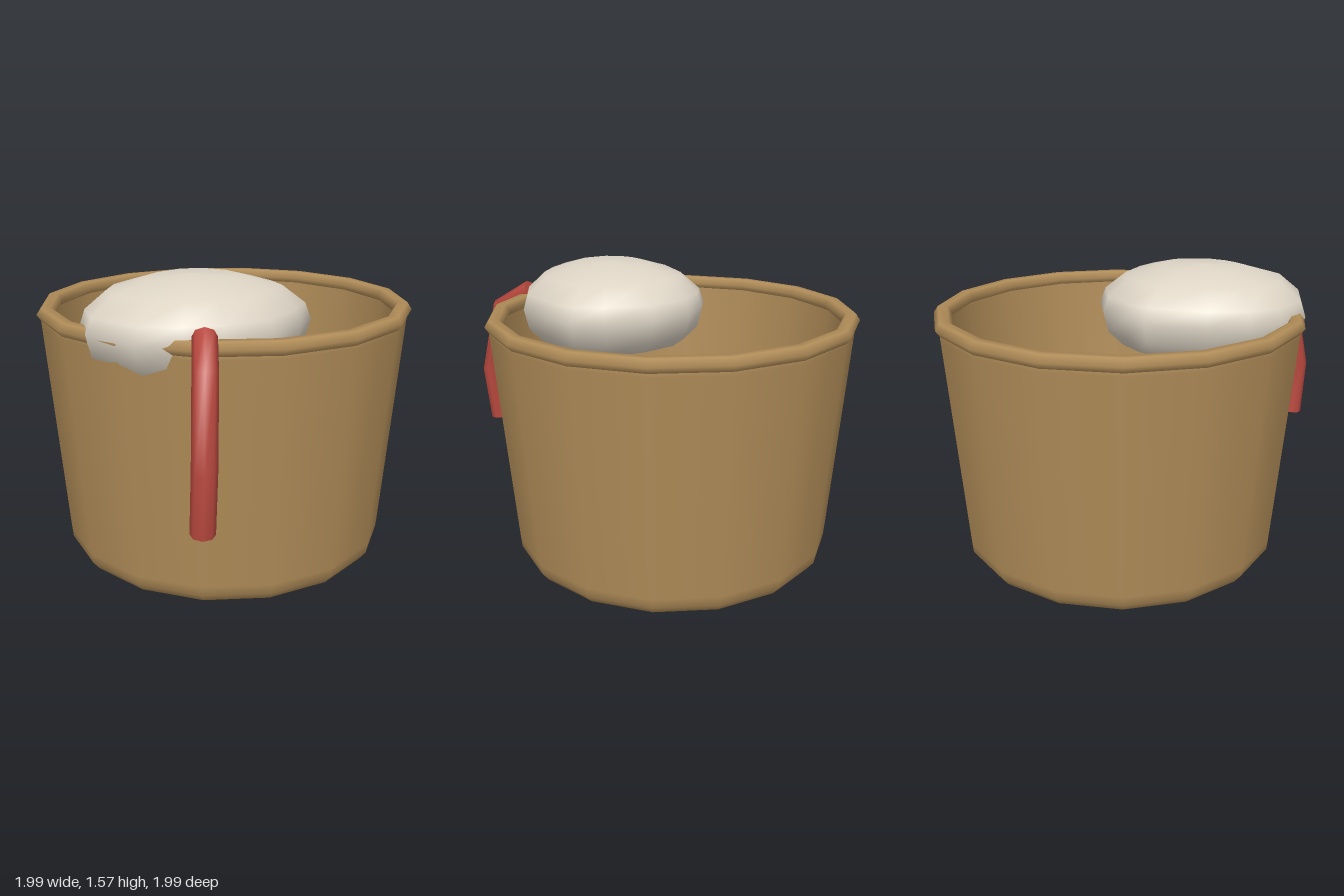
import * as THREE from 'three';

const tan = new THREE.MeshStandardMaterial({ name: 'tan clay', color: 0xb08c58 });
const cream = new THREE.MeshStandardMaterial({ name: 'cream dough', color: 0xddd4c5 });
const red = new THREE.MeshStandardMaterial({ name: 'red strap', color: 0xb8483e });
const SIDES = 16;

function add(group, name, geometry, material) {
  const mesh = new THREE.Mesh(geometry, material);
  mesh.name = name;
  group.add(mesh);
  return mesh;
}

// Soft lump: one outline, scaled and stacked at several heights
function lumpGeometry() {
  const cx = 0.25, cz = 0.39;
  const outline = [
    [-0.25, 0.23], [-0.22, 0.55], [-0.13, 0.75], [0, 0.88], [0.2, 0.96], [0.5, 0.89],
    [0.63, 0.72], [0.72, 0.55], [0.76, 0.3], [0.66, 0.05], [0.57, -0.1], [0.4, -0.15],
    [0.15, -0.17], [-0.08, -0.06], [-0.2, 0.1],
  ];
  const levels = [ // height, scale
    [1.06, 0.001], [1.08, 0.45], [1.14, 0.8], [1.22, 0.95], [1.33, 1],
    [1.41, 0.95], [1.5, 0.75], [1.55, 0.42], [1.565, 0.001],
  ];
  const n = outline.length, pos = [], index = [];
  levels.forEach(([y, s], i) => {
    outline.forEach(([x, z], j) => {
      pos.push(cx + (x - cx) * s, y, cz + (z - cz) * s);
      if (i === levels.length - 1) return;
      const a = i * n + j, b = i * n + (j + 1) % n;
      index.push(a, b, b + n, a, b + n, a + n);
    });
  });
  const g = new THREE.BufferGeometry();
  g.setAttribute('position', new THREE.Float32BufferAttribute(pos, 3));
  g.setIndex(index);
  g.computeVertexNormals();
  return g;
}

export function createModel() {
  const model = new THREE.Group();
  model.name = 'pot';

  // Tapered pot: outside, lip and inside in one turned profile
  const profile = [
    [0, 0], [0.8, 0], [0.84, 0.005], [0.875, 0.05], [0.88, 0.1], [0.972, 1.27], [0.975, 1.31],
    [0.96, 1.335], [0.93, 1.335], [0.92, 1.3], [0.83, 0.1], [0.81, 0.05], [0, 0.04],
  ].map(([r, y]) => new THREE.Vector2(r, y));
  add(model, 'potBody', new THREE.LatheGeometry(profile, SIDES), tan);

  // Rolled rim
  const rim = add(model, 'rim', new THREE.TorusGeometry(0.947, 0.048, 6, SIDES), tan);
  rim.rotation.x = Math.PI / 2;
  rim.scale.z = 0.85;
  rim.position.y = 1.32;

  // Lump resting over the front of the rim
  add(model, 'lump', lumpGeometry(), cream);

  // Bent strap hanging over the rim, one tube segment per bend
  const path = new THREE.CatmullRomCurve3([
    [0.675, 1.37, 0.635], [0.838, 1.255, 0.755], [0.915, 0.86, 0.82], [0.885, 0.555, 0.81],
  ].map((p) => new THREE.Vector3(...p)));
  path.getPointAt = path.getPoint;
  path.getTangentAt = path.getTangent;
  const strap = new THREE.Group();
  strap.name = 'strap';
  model.add(strap);
  add(strap, 'strapTube', new THREE.TubeGeometry(path, 3, 0.058, 8), red);
  for (const [t, dir] of [[0, -1], [1, 1]]) {
    const cap = add(strap, 'strapEnd', new THREE.CircleGeometry(0.058, 8), red);
    const p = path.getPoint(t);
    cap.position.copy(p);
    cap.lookAt(p.clone().addScaledVector(path.getTangent(t), dir));
  }
  return model;
}
